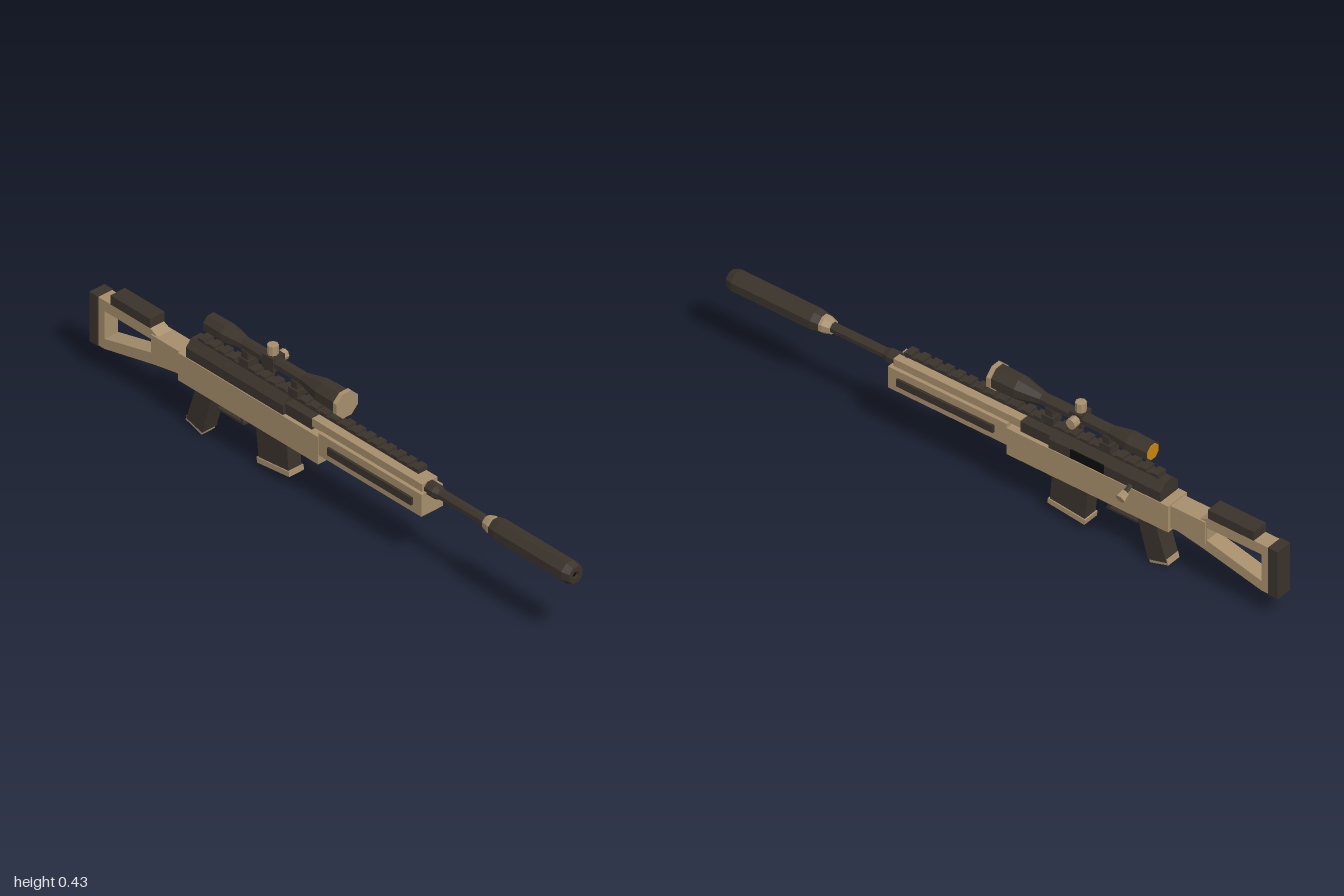
import * as THREE from 'three';

const mat = (name, color) => {
  const m = new THREE.MeshStandardMaterial({ color, flatShading: true });
  m.name = name;
  return m;
};

export function createModel() {
  const tan = mat('tan', 0xa68e6b);
  const dark = mat('dark brown', 0x3a332b);
  const black = mat('black', 0x0d0c0b);
  const amber = mat('amber', 0xc8860f);

  const root = new THREE.Group();
  root.name = 'rifle';
  const body = new THREE.Group();
  body.name = 'body';
  body.position.x = -0.021; // the bolt knob shifts the bounding box
  root.add(body);

  const add = (name, geo, material) => {
    const m = new THREE.Mesh(geo, material);
    m.name = name;
    body.add(m);
    return m;
  };
  // Box given by its limits in y and z
  const box = (name, material, w, y0, y1, z0, z1, x = 0) =>
    add(name, new THREE.BoxGeometry(w, y1 - y0, Math.abs(z1 - z0))
      .translate(x, (y0 + y1) / 2, (z0 + z1) / 2), material);
  const poly = (pts) => pts.map(([a, b]) => new THREE.Vector2(a, b));
  // Side outline of [z, y] points, extruded across x
  const side = (name, material, w, pts, hole) => {
    const s = new THREE.Shape(poly(pts));
    if (hole) s.holes.push(new THREE.Path(poly(hole)));
    const g = new THREE.ExtrudeGeometry(s, { depth: w, bevelEnabled: false });
    return add(name, g.rotateY(-Math.PI / 2).translate(w / 2, 0, 0), material);
  };
  // Eight-sided turned part along z from [flat radius, z] points, z rising
  const turned = (name, material, y, pts) => {
    const k = 1 / Math.cos(Math.PI / 8);
    const g = new THREE.LatheGeometry(poly(pts.map(([r, z]) => [r * k, z])), 8, Math.PI / 8);
    return add(name, g.rotateX(Math.PI / 2).translate(0, y, 0), material);
  };

  // Barrel and suppressor
  const by = 0.267;
  turned('barrel', dark, by, [[0, 0.36], [0.022, 0.36], [0.022, 0.42], [0.016, 0.44], [0.016, 0.65], [0, 0.65]]);
  turned('suppressorCollar', tan, by, [[0, 0.63], [0.02, 0.63], [0.027, 0.655], [0.027, 0.675], [0, 0.675]]);
  turned('suppressor', dark, by,
    [[0, 0.665], [0.029, 0.665], [0.034, 0.69], [0.034, 0.975], [0.026, 1], [0.011, 1], [0.011, 0.985]]);
  turned('bore', black, by, [[0.011, 0.98], [0.011, 0.99], [0, 0.99]]);

  // Handguard
  box('handguard', tan, 0.084, 0.189, 0.264, -0.03, 0.4);
  box('handguardTop', tan, 0.06, 0.262, 0.289, -0.07, 0.39);
  for (const s of [-1, 1]) box('sidePanel', dark, 0.008, 0.214, 0.239, 0.015, 0.365, s * 0.046);
  box('bottomPanel', dark, 0.032, 0.182, 0.19, 0.1, 0.365);

  // Receiver
  box('lowerReceiver', tan, 0.086, 0.157, 0.25, -0.615, -0.03);
  box('receiverFront', dark, 0.06, 0.245, 0.286, -0.19, -0.07);
  const upper = new THREE.ExtrudeGeometry(new THREE.Shape(poly(
    [[-0.04, 0.245], [0.04, 0.245], [0.04, 0.282], [0.018, 0.306], [-0.018, 0.306], [-0.04, 0.282]])),
  { depth: 0.405, bevelEnabled: false });
  add('upperReceiver', upper.translate(0, 0, -0.585), dark);
  box('ejectionPort', black, 0.004, 0.254, 0.284, -0.38, -0.26, 0.041);

  // Toothed top rail
  box('railBase', dark, 0.032, 0.304, 0.312, -0.56, 0.36);
  for (let i = 0; i < 22; i++) {
    const z = 0.36 - i * 0.0425;
    box('railTooth', dark, 0.038, 0.31, 0.32, z - 0.026, z);
  }

  // Scope
  const sy = 0.379;
  turned('scopeFrontCap', tan, sy, [[0, 0.03], [0.041, 0.03], [0.041, 0.045], [0, 0.045]]);
  turned('scopeTube', dark, sy, [[0, -0.525], [0.029, -0.525], [0.031, -0.45], [0.019, -0.38],
    [0.019, -0.13], [0.036, -0.05], [0.038, 0.031], [0, 0.031]]);
  turned('eyepieceLens', amber, sy, [[0, -0.527], [0.025, -0.527], [0.025, -0.523]]);
  box('turretBlock', dark, 0.046, 0.356, 0.402, -0.285, -0.24);
  add('elevationTurret', new THREE.CylinderGeometry(0.017, 0.017, 0.05, 8)
    .translate(0, 0.407, -0.265), tan);
  add('windageTurret', new THREE.CylinderGeometry(0.017, 0.017, 0.04, 8)
    .rotateZ(Math.PI / 2).translate(0.028, sy, -0.265), tan);
  for (const z of [-0.16, -0.367]) {
    box('mountFoot', dark, 0.042, 0.318, 0.34, z - 0.02, z + 0.02);
    box('mountPost', dark, 0.032, 0.335, 0.365, z - 0.013, z + 0.013);
  }

  // Bolt handle
  add('boltStem', new THREE.CylinderGeometry(0.008, 0.008, 0.05, 6)
    .rotateZ(1.2).translate(0.054, 0.25, -0.475), dark);
  add('boltKnob', new THREE.CylinderGeometry(0.013, 0.016, 0.026, 6)
    .rotateZ(1.2).translate(0.074, 0.24, -0.475), tan);

  // Magazine
  box('magazineWell', dark, 0.068, 0.145, 0.158, -0.315, -0.172);
  side('magazine', dark, 0.05, [[-0.18, 0.15], [-0.31, 0.15], [-0.298, 0.04], [-0.173, 0.055]]);
  side('magazineBase', tan, 0.057, [[-0.168, 0.057], [-0.303, 0.042], [-0.3, 0.024], [-0.166, 0.04]]);

  // Trigger and guard
  box('guardFloor', dark, 0.03, 0.11, 0.117, -0.48, -0.37);
  side('guardStrap', dark, 0.03, [[-0.385, 0.158], [-0.393, 0.158], [-0.38, 0.112], [-0.372, 0.112]]);
  side('trigger', tan, 0.014, [[-0.43, 0.158], [-0.442, 0.158], [-0.435, 0.125], [-0.427, 0.125]]);

  // Pistol grip
  side('grip', dark, 0.056, [[-0.488, 0.158], [-0.555, 0.158], [-0.597, 0.03], [-0.53, 0.012]]);
  side('gripBase', tan, 0.051, [[-0.53, 0.022], [-0.597, 0.04], [-0.602, 0.022], [-0.535, 0.002]]);

  // Skeleton stock
  box('stockNeck', tan, 0.064, 0.168, 0.246, -0.74, -0.61);
  side('stockFrame', tan, 0.053,
    [[-0.62, 0.166], [-0.73, 0.145], [-0.94, 0.096], [-0.968, 0.096], [-0.968, 0.261], [-0.75, 0.261], [-0.715, 0.245], [-0.62, 0.24]],
    [[-0.742, 0.225], [-0.94, 0.225], [-0.94, 0.13], [-0.742, 0.18]]);
  box('cheekRest', dark, 0.056, 0.262, 0.293, -0.913, -0.747);
  box('buttPad', dark, 0.058, 0.095, 0.263, -1, -0.965);

  return root;
}
